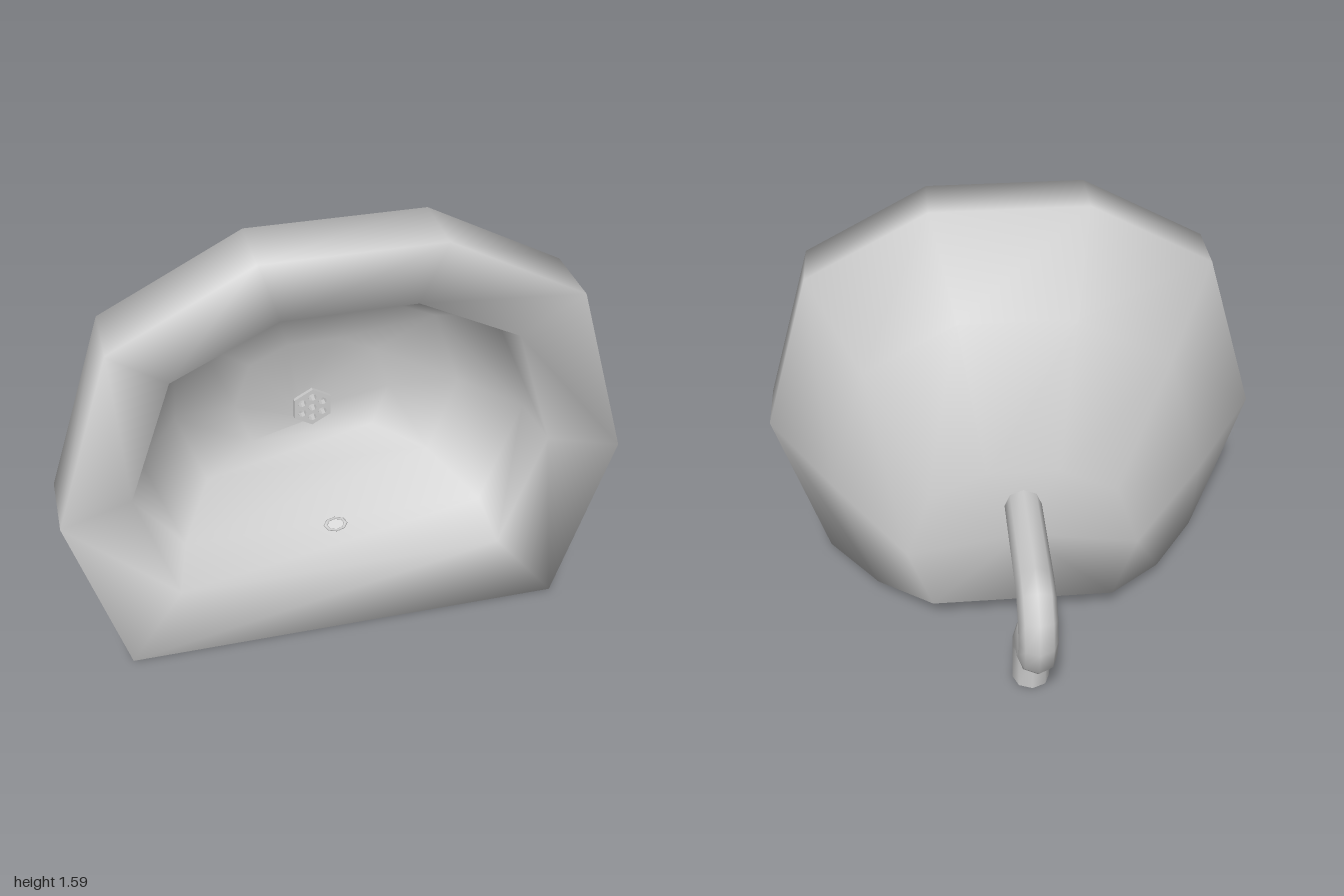
import * as THREE from 'three';
import { mergeVertices } from 'three/addons/utils/BufferGeometryUtils.js';

const material = new THREE.MeshStandardMaterial({ color: 0xcccccc });
const openMaterial = new THREE.MeshStandardMaterial({ color: 0xcccccc, side: THREE.DoubleSide });

// Skin a list of closed rings (equal point counts) with smooth normals
function loft(rings) {
  const n = rings[0].length;
  const index = [];
  for (let r = 0; r < rings.length - 1; r++) {
    for (let i = 0; i < n; i++) {
      const j = (i + 1) % n;
      const a = r * n + i, b = r * n + j;
      index.push(a, b, b + n, a, b + n, a + n);
    }
  }
  let g = new THREE.BufferGeometry();
  g.setAttribute('position', new THREE.Float32BufferAttribute(rings.flat(2), 3));
  g.setIndex(index);
  g = mergeVertices(g, 1e-4);
  g.computeVertexNormals();
  return g;
}

function add(group, name, geometry, mat = material) {
  const mesh = new THREE.Mesh(geometry, mat);
  mesh.name = name;
  group.add(mesh);
  return mesh;
}

// Eight-sided basin outline, counterclockwise from the front
const half = [[0.8, 0], [1, 0.417], [0.8, 0.835], [0.31, 1]];
const outline = [...half, ...half.map(([x, v]) => [-x, v]).reverse()];
const basinRing = ([halfWidth, bottom, top, z, lean = 0]) =>
  outline.map(([x, v]) => [x * halfWidth, bottom + v * (top - bottom), z - lean * v]);

// Round eight-point ring; radius 0 closes the surface
const roundRing = (radius, y, z) => outline.map((_, i) => {
  const a = (i - 1) * Math.PI / 4;
  return [radius * Math.cos(a), y + radius * Math.sin(a), z];
});

function strainer() {
  const hex = new THREE.Shape();
  const centres = [[0, 0]];
  for (let i = 0; i < 6; i++) {
    const a = Math.PI / 6 + i * Math.PI / 3;
    hex[i ? 'lineTo' : 'moveTo'](0.082 * Math.cos(a), 0.082 * Math.sin(a));
    centres.push([0.046 * Math.cos(a), 0.046 * Math.sin(a)]);
  }
  for (const [x, y] of centres) hex.holes.push(new THREE.Path().absarc(x, y, 0.016, 0, Math.PI * 2, true));
  return new THREE.ExtrudeGeometry(hex, { depth: 0.025, bevelEnabled: false, curveSegments: 4 });
}

export function createModel() {
  const model = new THREE.Group();
  model.name = 'washBasin';

  // Basin: back, outer wall, rim, then down into the bowl to the drain opening
  const rings = [
    [0.46, 0.11, 0.75, -0.065],
    [0.74, 0.06, 1.29, 0.15],
    [1, 0, 1.585, 0.49],
    [1, 0, 1.585, 0.745, 0.02],
    [0.75, 0.22, 1.345, 0.67, -0.02],
    [0.7, 0.335, 1.32, 0.54],
    [0.54, 0.41, 1.14, 0.29],
    [0.3, 0.48, 0.9, 0.185],
  ].map(basinRing);
  add(model, 'basin', loft([roundRing(0, 0.45, -0.065), ...rings, roundRing(0.07, 0.6, 0.17)]));

  // Drain strainer at the bottom of the bowl
  add(model, 'drainStrainer', strainer()).position.set(0, 0.6, 0.16);

  // Overflow opening on the sloping lower wall
  const overflow = new THREE.Group();
  overflow.name = 'overflow';
  const rim = add(overflow, 'overflowRim', new THREE.TorusGeometry(0.038, 0.008, 6, 8));
  rim.scale.set(1, 0.6, 0.7);
  const recess = add(overflow, 'overflowRecess', new THREE.CircleGeometry(0.038, 8));
  recess.scale.y = 0.6;
  recess.position.z = 0.001;
  overflow.position.set(0, 0.325, 0.551);
  overflow.rotation.x = -0.84;
  model.add(overflow);

  // Open drain pipe: centre line as [z, y] with a ring square to it at each point
  const path = [
    [0.16, 0.595], [-0.515, 0.595], [-0.595, 0.575], [-0.65, 0.52], [-0.67, 0.44],
    [-0.65, 0.36], [-0.595, 0.305], [-0.45, 0.265], [-0.41, 0.23], [-0.395, 0.16], [-0.395, 0],
  ].map(([z, y]) => new THREE.Vector3(0, y, z));
  const side = new THREE.Vector3(1, 0, 0);
  const pipeRings = path.map((p, k) => {
    const before = path[Math.max(k - 1, 0)];
    const after = path[Math.min(k + 1, path.length - 1)];
    const into = p.clone().sub(before).normalize();
    const tangent = after.clone().sub(p).normalize().add(into).normalize();
    const up = tangent.cross(side);
    return Array.from({ length: 8 }, (_, i) => {
      const a = i * Math.PI / 4;
      return p.clone().addScaledVector(side, 0.073 * Math.cos(a)).addScaledVector(up, 0.073 * Math.sin(a)).toArray();
    });
  });
  add(model, 'drainPipe', loft(pipeRings), openMaterial);

  return model;
}
